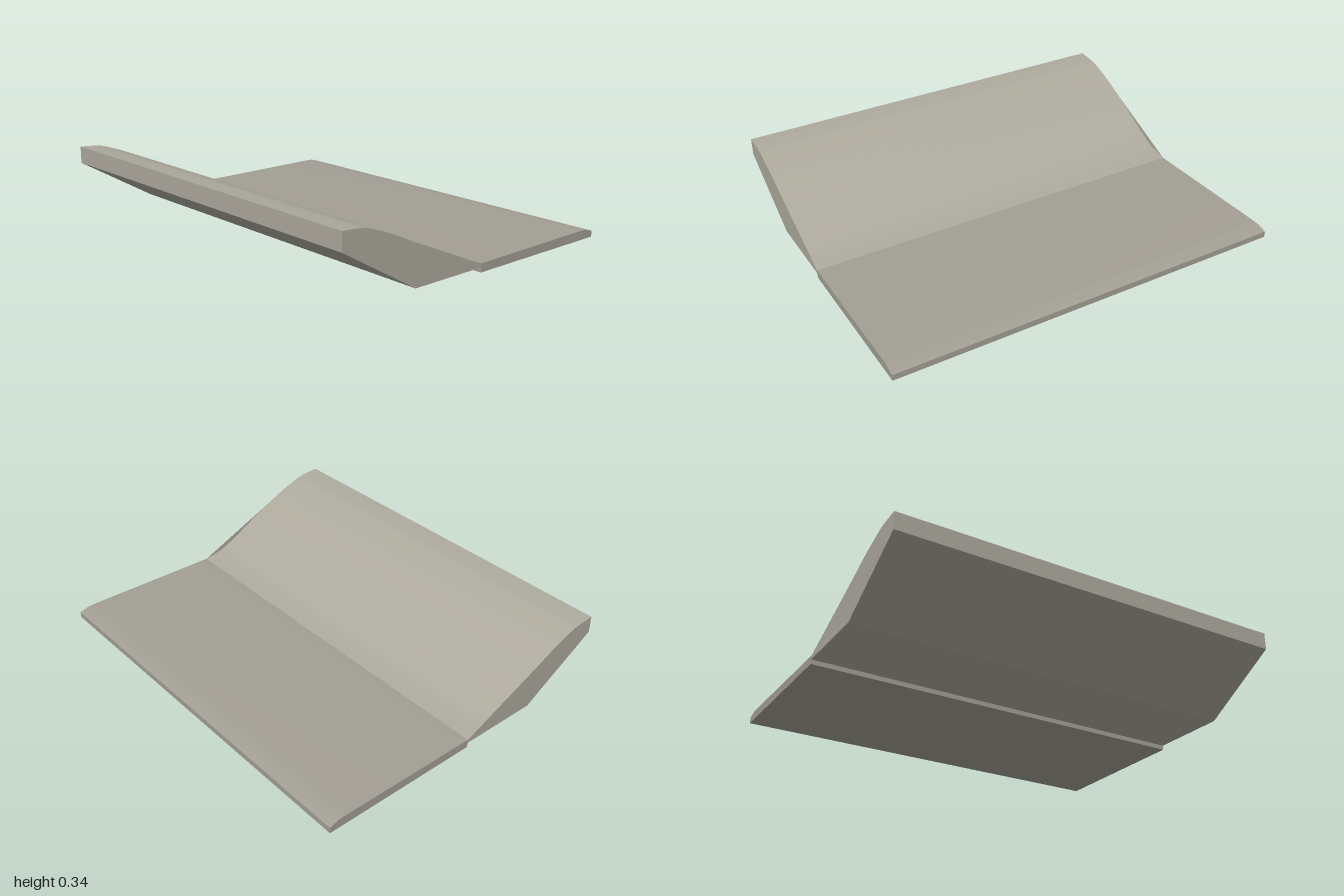
import * as THREE from 'three';
import { toCreasedNormals } from 'three/addons/utils/BufferGeometryUtils.js';

const deckMaterial = new THREE.MeshStandardMaterial({ color: 0xa29e94 });
const slopeMaterial = new THREE.MeshStandardMaterial({ color: 0xaca89c });
const webMaterial = new THREE.MeshStandardMaterial({ color: 0xaca89c, side: THREE.DoubleSide });
const v = (z, y) => new THREE.Vector2(z, y);

// Sweep a (z, y) side profile across the full width
function sweep(name, points, material, crease) {
  const geo = new THREE.ExtrudeGeometry(new THREE.Shape(points), { depth: 2, bevelEnabled: false });
  geo.rotateY(-Math.PI / 2).translate(1, 0, 0);
  const mesh = new THREE.Mesh(toCreasedNormals(geo, crease), material);
  mesh.name = name;
  return mesh;
}

export function createModel() {
  const group = new THREE.Group();
  group.name = 'ramp';

  // Flat rear deck whose back edge rolls softly downwards
  group.add(sweep('deck', [
    v(0, 0), v(0, 0.041), v(-0.7, 0.046), v(-0.75, 0.045), v(-0.8, 0.03), v(-0.8, 0),
  ], deckMaterial, 0.4));

  // Curved sloping wedge, concave at its foot and rounded at its lip
  const curve = new THREE.SplineCurve([
    v(0, 0.04), v(0.06, 0.051), v(0.13, 0.07), v(0.24, 0.126), v(0.35, 0.189), v(0.42, 0.225),
    v(0.55, 0.285), v(0.62, 0.311), v(0.68, 0.331), v(0.74, 0.339), v(0.8, 0.343),
  ]);
  const top = curve.getPoints(50);
  group.add(sweep('slope', [...top, v(0.8, 0.258), v(0.4, 0.023), v(0, 0.023)], slopeMaterial, 0.25));

  // Thin side webs closing the hollow of the curve at both ends
  const web = new THREE.ShapeGeometry(new THREE.Shape(top.slice(0, 26)));
  web.rotateY(-Math.PI / 2);
  for (const x of [-1, 1]) {
    const mesh = new THREE.Mesh(web, webMaterial);
    mesh.name = x > 0 ? 'leftWeb' : 'rightWeb';
    mesh.position.x = x;
    group.add(mesh);
  }
  return group;
}
